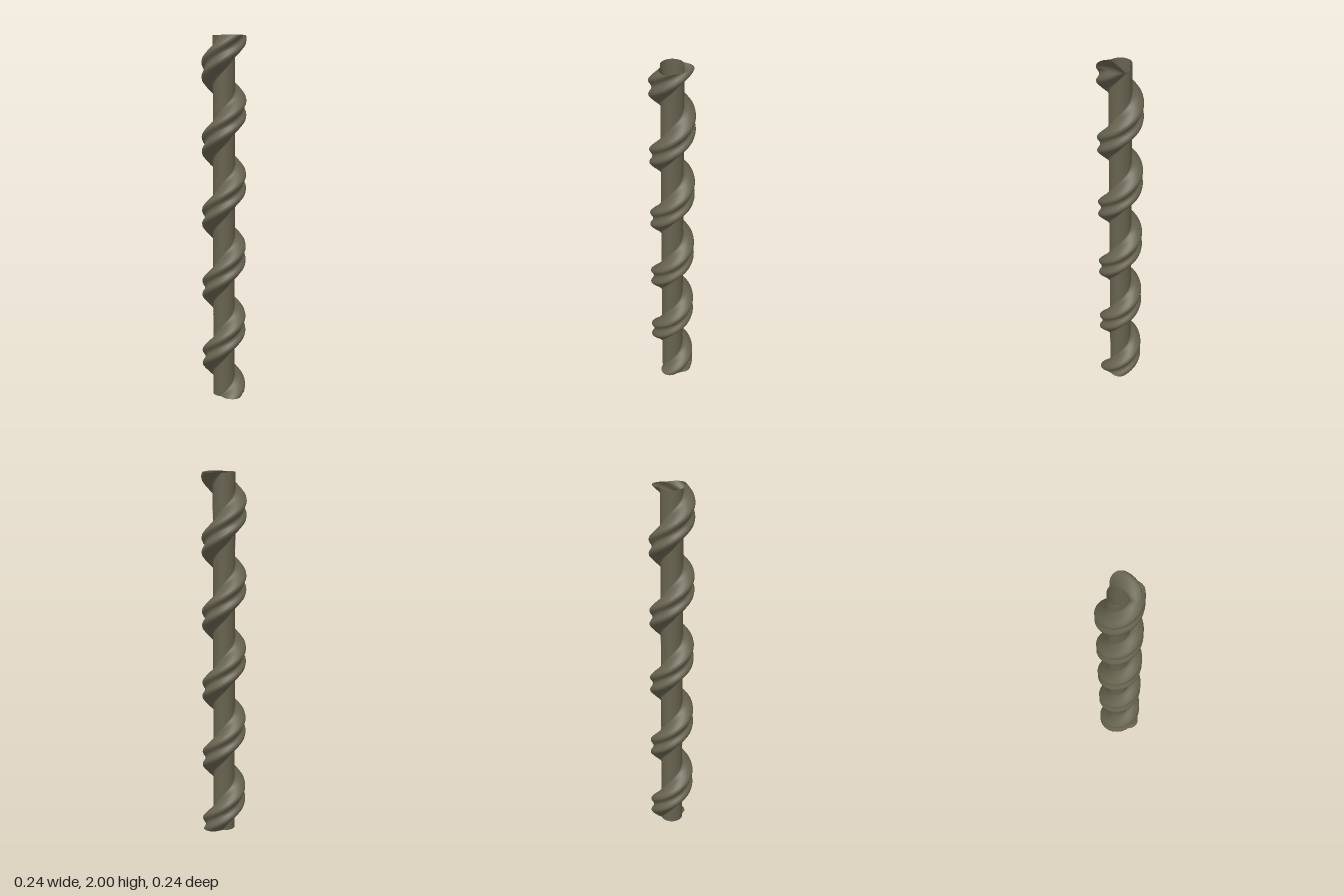
import * as THREE from 'three';
import { mergeVertices } from 'three/addons/utils/BufferGeometryUtils.js';

const HEIGHT = 2, TURNS = 5, RINGS = 200, SIDES = 72;
const CORE = 0.06;
const CENTRE = THREE.MathUtils.degToRad(63); // middle of the strands at the top end

// Radius by angle (degrees) from the valley between the two strands
const PROFILE = [[0, 0.104], [10, 0.107], [20, 0.115], [32, 0.121], [45, 0.118],
  [57, 0.107], [70, 0.09], [80, 0.072], [90, CORE], [180, CORE]];

function radiusAt(deg) {
  const a = Math.abs(deg);
  const i = Math.max(1, PROFILE.findIndex(p => p[0] >= a - 1e-6));
  const [a0, r0] = PROFILE[i - 1], [a1, r1] = PROFILE[i];
  return r0 + (r1 - r0) * (a - a0) / (a1 - a0);
}

export function createModel() {
  const group = new THREE.Group();
  group.name = 'twistedColumn';

  // Open tube whose section is a round core with two joined strands, twisted upwards
  let geometry = new THREE.CylinderGeometry(CORE, CORE, HEIGHT, SIDES, RINGS, true);
  geometry.translate(0, HEIGHT / 2, 0);
  const pos = geometry.attributes.position, uv = geometry.attributes.uv;
  for (let i = 0; i < pos.count; i++) {
    const y = pos.getY(i);
    const deg = uv.getX(i) * 360 - 180;
    const r = radiusAt(deg);
    const angle = CENTRE - THREE.MathUtils.degToRad(deg)
      + (HEIGHT - y) / HEIGHT * TURNS * Math.PI * 2;
    pos.setXYZ(i, r * Math.cos(angle), y, r * Math.sin(angle));
  }

  // Weld the seam so the shading stays smooth all round
  geometry.deleteAttribute('uv');
  geometry.deleteAttribute('normal');
  geometry = mergeVertices(geometry, 1e-5);
  geometry.computeVertexNormals();

  const material = new THREE.MeshStandardMaterial({ color: 0x66624f, side: THREE.DoubleSide });
  const shaft = new THREE.Mesh(geometry, material);
  shaft.name = 'twistedShaft';
  group.add(shaft);
  return group;
}
